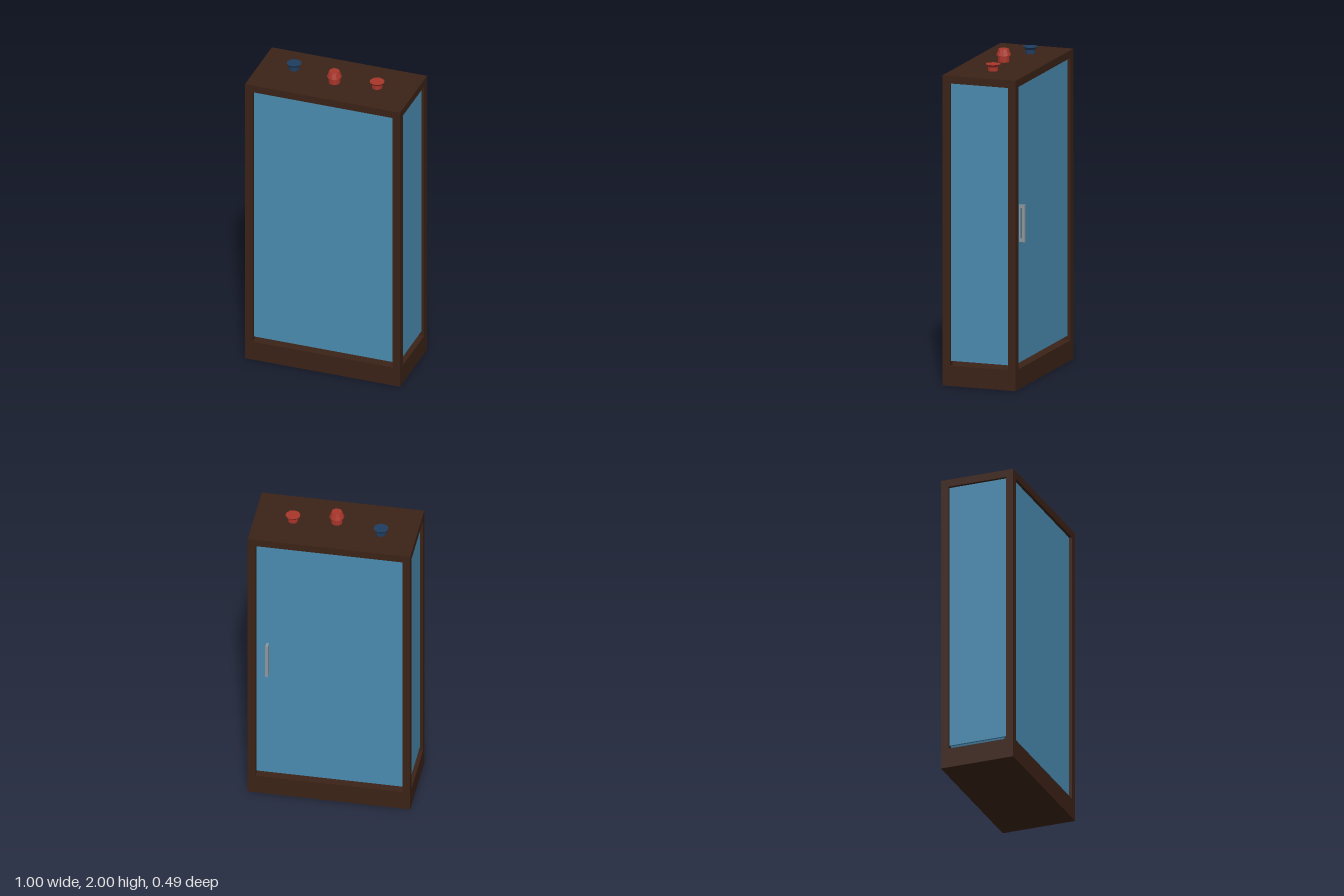
import * as THREE from 'three';

const mat = (color) => new THREE.MeshStandardMaterial({ color, flatShading: true });

export function createModel() {
  const model = new THREE.Group();
  const wood = mat(0x3b2217), glass = mat(0x4a8bb0), steel = mat(0x8f979c);
  const red = mat(0xa8352a), blue = mat(0x1f3d60);

  const add = (name, geometry, material, x, y, z, parent = model) => {
    const mesh = new THREE.Mesh(geometry, material);
    mesh.name = name;
    mesh.position.set(x, y, z);
    parent.add(mesh);
    return mesh;
  };
  // box given by its minimum and maximum corners
  const box = (name, material, [x0, y0, z0], [x1, y1, z1], parent) =>
    add(name, new THREE.BoxGeometry(x1 - x0, y1 - y0, z1 - z0), material,
      (x0 + x1) / 2, (y0 + y1) / 2, (z0 + z1) / 2, parent);

  // cabinet extents
  const W = 0.5, back = -0.23, front = 0.242, top = 1.92;
  const post = 0.048, floorTop = 0.125, roofBottom = 1.873;

  // wooden frame
  box('base', wood, [-W, 0, back], [W, floorTop, front]);
  box('roof', wood, [-W, roofBottom, back], [W, top, front]);
  for (const s of [-1, 1]) {
    const x0 = s < 0 ? -W : W - post;
    box('frontPost', wood, [x0, floorTop, front - post], [x0 + post, roofBottom, front]);
    box('backPost', wood, [x0, floorTop, back], [x0 + post, roofBottom, back + post]);
  }

  // recessed panes, hanging just clear of the base
  const paneBottom = 0.152, inset = 0.025, t = 0.006, halfPane = W - post - 0.004;
  for (const [name, z] of [['frontPane', front - inset], ['doorPane', back + inset]])
    box(name, glass, [-halfPane, paneBottom, z - t], [halfPane, roofBottom, z + t]);
  for (const s of [-1, 1]) {
    const x = s * (W - inset);
    box('sidePane', glass, [x - t, paneBottom, back + post], [x + t, roofBottom, front - post]);
  }

  // door handle: mounting plate, two standoffs and a grip
  const handle = new THREE.Group();
  handle.name = 'doorHandle';
  model.add(handle);
  const hx = 0.381, hw = 0.008, doorFace = back + inset - t;
  box('handlePlate', steel, [hx - hw, 0.9, doorFace - 0.006], [hx + hw, 1.13, doorFace], handle);
  box('handleGrip', steel, [hx - hw, 0.9, -0.248], [hx + hw, 1.13, -0.23], handle);
  for (const y of [0.9, 1.11])
    box('handleStandoff', steel, [hx - hw, y, -0.23], [hx + hw, y + 0.02, doorFace - 0.006], handle);

  // ten-sided buttons: a stem with a flared or tapered cap
  const button = (name, material, x, z, stemR, stemH, capTop, capBottom, capH) => {
    const group = new THREE.Group();
    group.name = name;
    group.position.set(x, top, z);
    model.add(group);
    add('stem', new THREE.CylinderGeometry(stemR, stemR, stemH, 10), material, 0, stemH / 2, 0, group);
    add('cap', new THREE.CylinderGeometry(capTop, capBottom, capH, 10), material, 0, stemH + capH / 2, 0, group);
  };
  button('blueButton', blue, -0.284, -0.032, 0.032, 0.026, 0.046, 0.032, 0.016);
  button('redButton', red, 0.264, 0.003, 0.032, 0.026, 0.046, 0.032, 0.016);
  button('emergencyButton', red, 0, 0.034, 0.036, 0.042, 0.032, 0.046, 0.038);

  return model;
}
